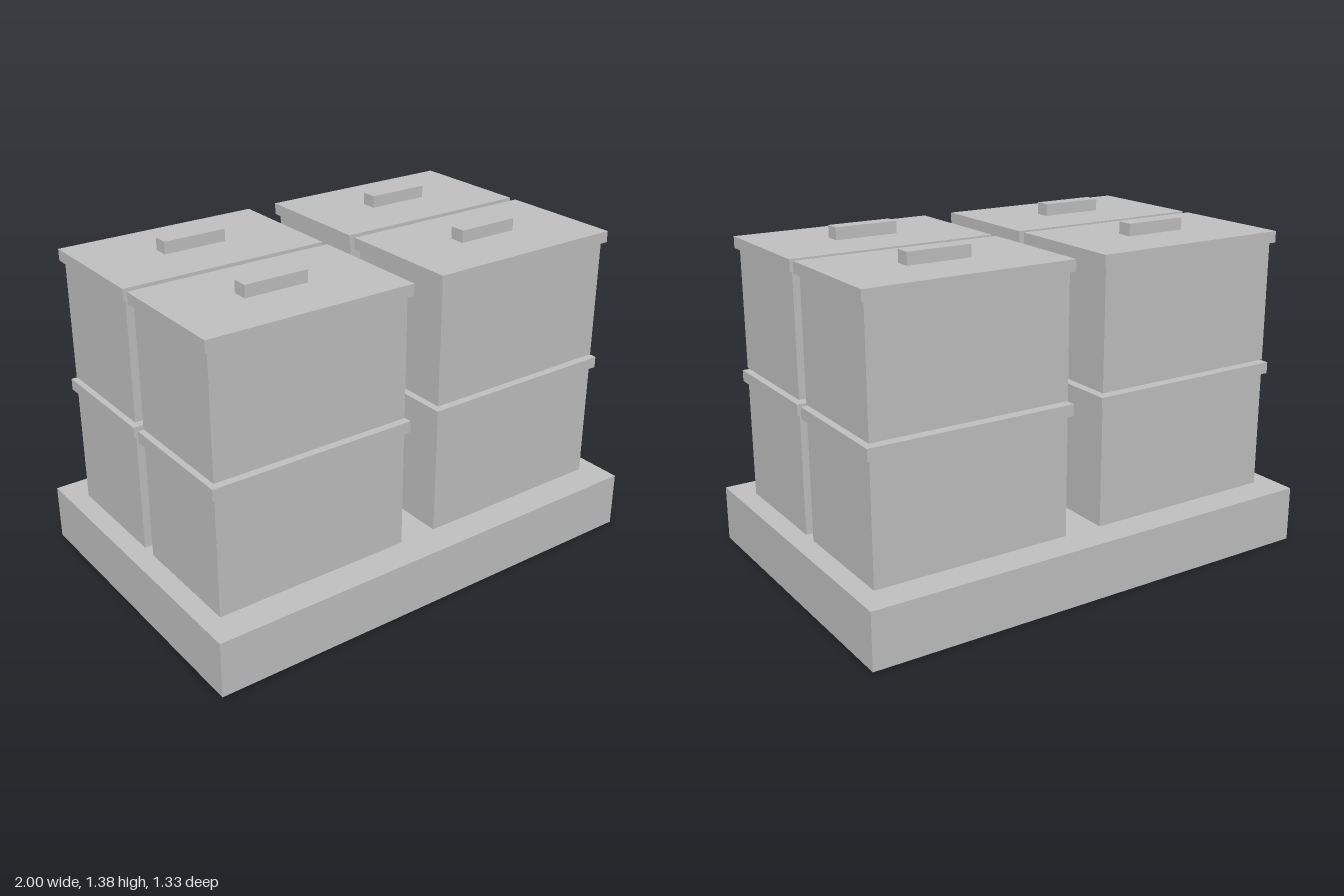
import * as THREE from 'three';

const grey = new THREE.MeshStandardMaterial({ color: 0xc0c0c0 });
grey.name = 'light grey';

// Box standing on height y
function addBox(parent, name, w, h, d, y) {
  const mesh = new THREE.Mesh(new THREE.BoxGeometry(w, h, d), grey);
  mesh.name = name;
  mesh.position.y = y + h / 2;
  parent.add(mesh);
}

// Lidded crate with a bar handle on top
function createCrate() {
  const crate = new THREE.Group();
  crate.name = 'crate';
  addBox(crate, 'crateBody', 0.835, 0.495, 0.5, 0);
  addBox(crate, 'lid', 0.867, 0.047, 0.533, 0.494);
  addBox(crate, 'handle', 0.267, 0.05, 0.065, 0.541);
  return crate;
}

export function createModel() {
  const model = new THREE.Group();
  model.name = 'stackedCrates';

  const baseHeight = 0.233;
  addBox(model, 'base', 2, baseHeight, 1.333, 0);

  // Two crates stacked at each corner; upper ones rest just above the lower lids
  for (const x of [-0.5, 0.5]) {
    for (const z of [-0.283, 0.283]) {
      for (const level of [0, 1]) {
        const crate = createCrate();
        crate.position.set(x, baseHeight + level * 0.552, z);
        model.add(crate);
      }
    }
  }
  return model;
}
